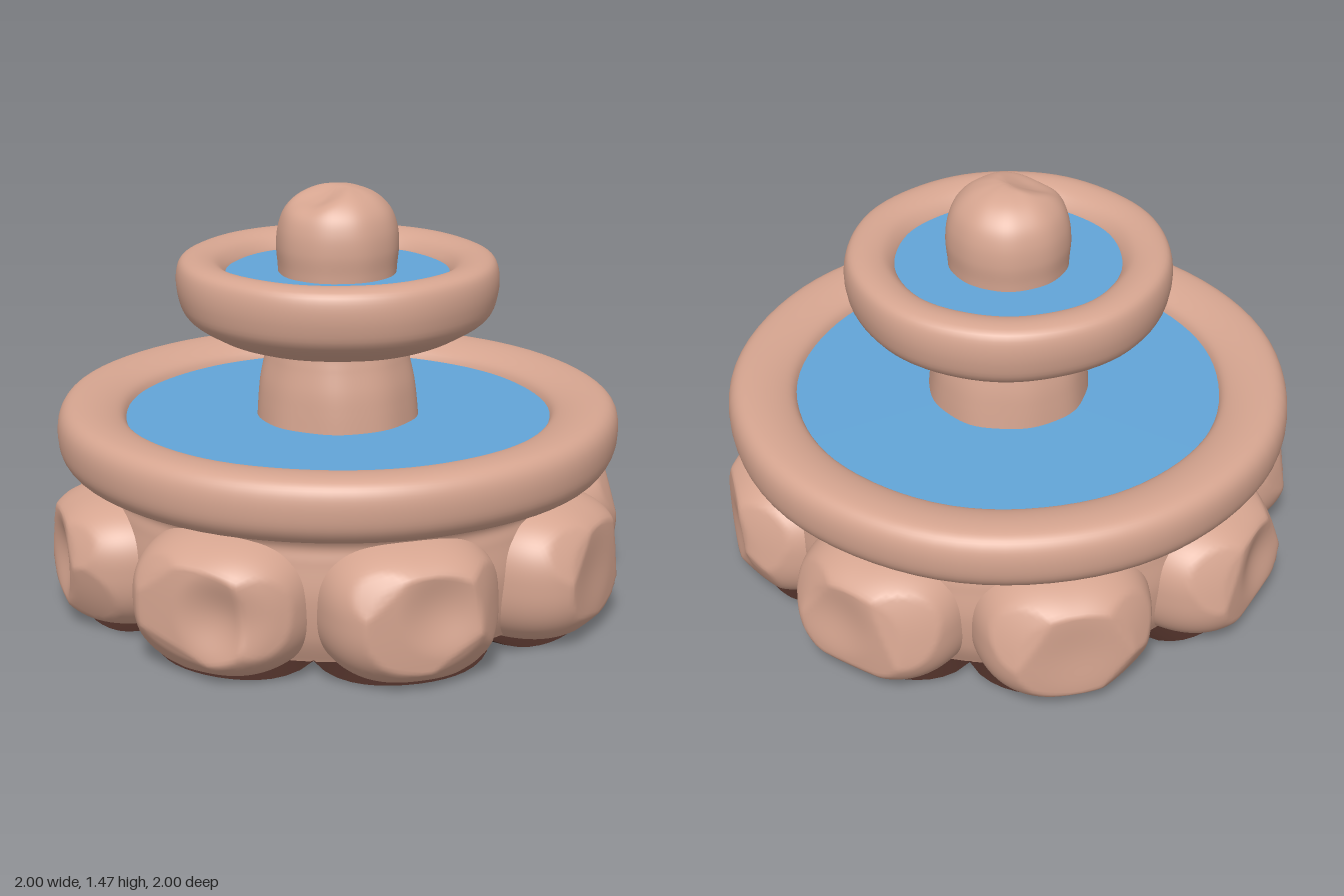
import * as THREE from 'three';
import { mergeVertices } from 'three/addons/utils/BufferGeometryUtils.js';

const stone = new THREE.MeshStandardMaterial({ color: 0xd6a590 });
stone.name = 'stone';
const water = new THREE.MeshStandardMaterial({ color: 0x62a5d8 });
water.name = 'water';
const underside = new THREE.MeshStandardMaterial({ color: 0x4a2d26, side: THREE.DoubleSide });
underside.name = 'underside';

function seeded(seed) {
  let s = seed;
  return () => (s = (s * 16807) % 2147483647) / 2147483647;
}

// Move every vertex by a rule, then rebuild smooth shared normals
function sculpt(geometry, rule) {
  geometry.deleteAttribute('uv');
  geometry.deleteAttribute('normal');
  const g = mergeVertices(geometry, 1e-4);
  const pos = g.attributes.position;
  const p = new THREE.Vector3();
  for (let i = 0; i < pos.count; i++) {
    rule(p.fromBufferAttribute(pos, i));
    pos.setXYZ(i, p.x, p.y, p.z);
  }
  g.computeVertexNormals();
  return g;
}

// Smooth turned profile, listed from the bottom outside to the top inside
function turned(points, steps = 48) {
  const curve = new THREE.SplineCurve(points.map(([r, y]) => new THREE.Vector2(r, y)));
  const profile = curve.getPoints(steps);
  profile.forEach((v) => { v.x = Math.max(v.x, 0); });
  return new THREE.LatheGeometry(profile, 80);
}

// Faint hand-shaped unevenness
function wobble(amount, phase) {
  return (p) => {
    const a = Math.atan2(p.x, p.z);
    const k = amount * (Math.sin(5 * a + phase + 9 * p.y) + Math.sin(9 * a - 2 * phase));
    const r = Math.hypot(p.x, p.z) || 1;
    p.x += (p.x / r) * k;
    p.z += (p.z / r) * k;
  };
}

// Rounded boulder with softly planed facets and a shallow hollow on its outer face
function boulderGeometry(seed, top, dent) {
  const rand = seeded(seed * 7919 + 13);
  const cuts = [{ n: new THREE.Vector3(0, 0, 1), h: 0.275, soft: 0.9 }];
  for (let i = 0; i < 3; i++) {
    const a = ((i + rand() * 0.7) / 3) * Math.PI * 2;
    const n = new THREE.Vector3(Math.cos(a), Math.sin(a) * 0.8, 0.75 + rand() * 0.5).normalize();
    cuts.push({ n, h: 0.3 + rand() * 0.02, soft: 0.7 });
  }
  const e = 2.5;
  return sculpt(new THREE.IcosahedronGeometry(1, 20), (p) => {
    const s = (Math.abs(p.x) ** e + Math.abs(p.y) ** e + Math.abs(p.z) ** e) ** (-1 / e);
    p.multiplyScalar(s).multiply(new THREE.Vector3(0.31, p.y < 0 ? 0.262 : top, 0.33));
    for (const { n, h, soft } of cuts) {
      const d = p.dot(n) - h;
      if (d > 0) p.addScaledVector(n, -d * soft);
    }
    if (p.z > 0) {
      const q = Math.hypot(p.x - dent.x, p.y - dent.y) / 0.17;
      if (q < 1) p.z -= dent.depth * (1 - q * q) ** 2;
    }
    p.y = Math.max(p.y, -0.238);
  });
}

export function createModel() {
  const model = new THREE.Group();
  const add = (name, geometry, material, y = 0) => {
    const mesh = new THREE.Mesh(geometry, material);
    mesh.name = name;
    mesh.position.y = y;
    model.add(mesh);
    return mesh;
  };

  // Base: core wall ringed by eight boulders
  add('baseCore', turned([
    [0.79, 0.045], [0.83, 0.14], [0.85, 0.28], [0.84, 0.4], [0.835, 0.46], [0.87, 0.515],
  ]), stone);
  const boulders = new THREE.Group();
  boulders.name = 'boulders';
  // Hollow x, y, depth and top height of each boulder
  const shapes = [[0.1, -0.01, 0.04, 0.235], [0.06, 0.04, 0.03, 0.23], [-0.05, 0, 0.01, 0.24],
    [0.08, -0.05, 0.02, 0.235], [-0.06, 0.03, 0.02, 0.235], [0, 0, 0.01, 0.235],
    [0.05, 0.02, 0.03, 0.235], [0, -0.03, 0.04, 0.215]];
  shapes.forEach(([x, y, depth, top], i) => {
    const a = ((i + 0.5) * Math.PI) / 4;
    const rock = new THREE.Mesh(boulderGeometry(i + 1, top, { x, y, depth }), stone);
    rock.name = 'boulder';
    rock.position.set(0.725 * Math.sin(a), 0.25, 0.725 * Math.cos(a));
    rock.rotation.y = a;
    boulders.add(rock);
  });
  model.add(boulders);

  // Dark scalloped underside, lifted in the notches between boulders
  const sole = new THREE.RingGeometry(0.001, 1, 128, 10).rotateX(Math.PI / 2);
  add('sole', sculpt(sole, (p) => {
    const wave = Math.abs(Math.sin(4 * Math.atan2(p.x, p.z)));
    p.multiplyScalar(0.8 + 0.115 * wave ** 0.7);
    const lift = THREE.MathUtils.smoothstep(Math.hypot(p.x, p.z), 0.6, 0.8);
    p.y = 0.007 + 0.045 * lift * (1 - wave) ** 2.5;
  }), underside);

  // Lower basin
  add('lowerBasin', sculpt(turned([
    [0.7, 0.5], [0.84, 0.497], [0.93, 0.512], [0.977, 0.56], [0.99, 0.63], [0.98, 0.69],
    [0.945, 0.724], [0.88, 0.73], [0.81, 0.715], [0.76, 0.685], [0.738, 0.63],
  ]), wobble(0.0015, 1)), stone);
  add('lowerWater', new THREE.CircleGeometry(0.76, 80).rotateX(-Math.PI / 2), water, 0.665);

  // Column between the basins
  add('column', sculpt(turned([
    [0.285, 0.64], [0.278, 0.73], [0.27, 0.8], [0.254, 0.88], [0.246, 0.935], [0.26, 0.97],
  ]), wobble(0.002, 3)), stone);

  // Upper basin
  add('upperBasin', sculpt(turned([
    [0.2, 0.955], [0.3, 0.946], [0.39, 0.955], [0.46, 0.987], [0.535, 1.04], [0.56, 1.11],
    [0.562, 1.18], [0.542, 1.225], [0.49, 1.238], [0.43, 1.222], [0.392, 1.18], [0.378, 1.13],
  ]), wobble(0.0015, 5)), stone);
  add('upperWater', new THREE.CircleGeometry(0.395, 64).rotateX(-Math.PI / 2), water, 1.177);

  // Spout stone with a hollow pressed into its front top
  const bump = wobble(0.001, 2);
  add('spoutStone', sculpt(turned([
    [0.205, 1.14], [0.208, 1.2], [0.214, 1.27], [0.207, 1.34], [0.183, 1.4], [0.135, 1.447],
    [0.07, 1.474], [0, 1.482],
  ]), (p) => {
    bump(p);
    if (p.y > 1.3) {
      const q = Math.hypot(p.x, p.z - 0.09) / 0.12;
      if (q < 1) p.y -= 0.035 * (1 - q * q) ** 2;
    }
  }), stone);

  return model;
}
